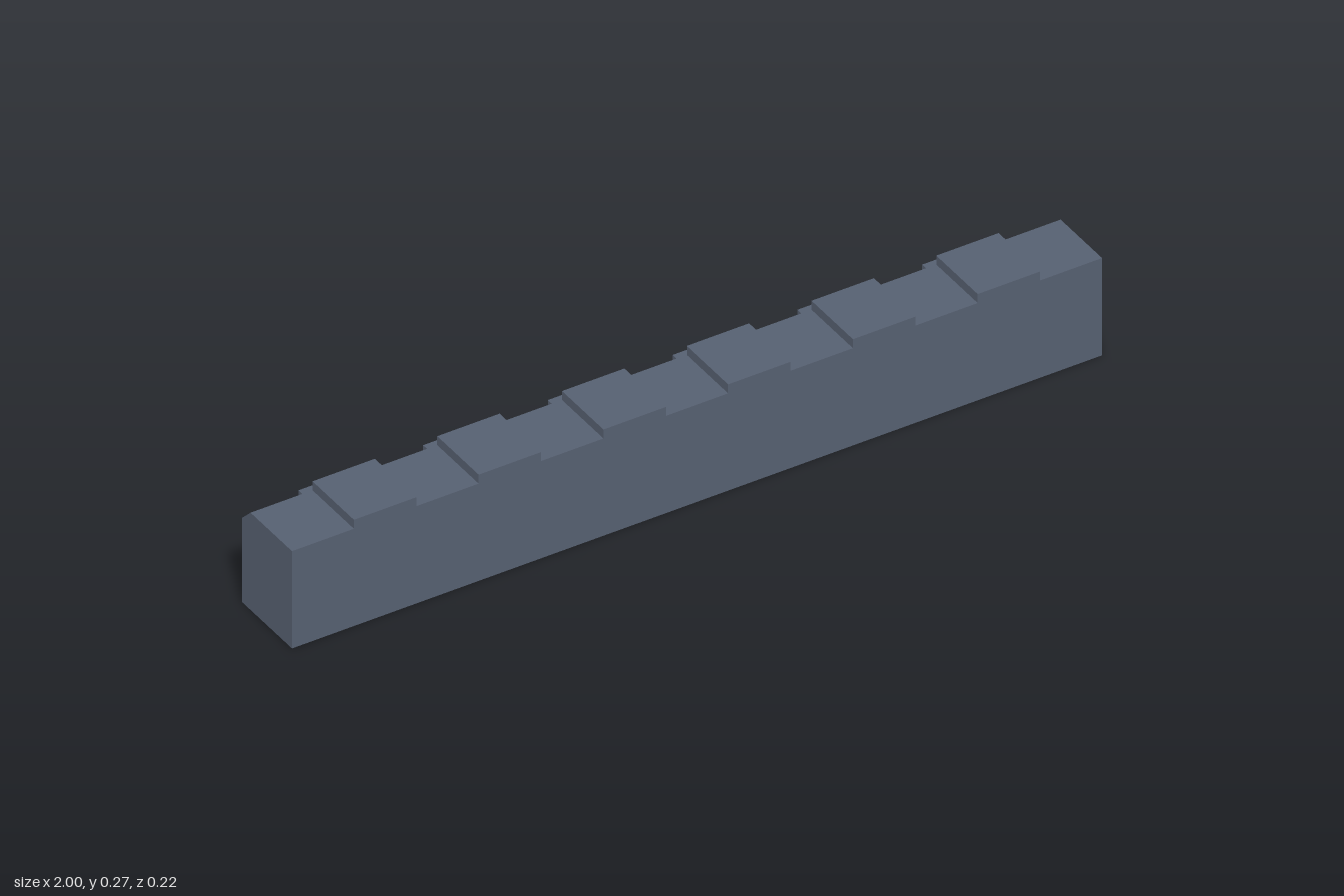
import * as THREE from 'three';

const PITCH = 0.308, BLOCK_W = 0.154, SLOT_W = 0.14;
const FRONT = 0.11, BACK = -0.088, LEDGE = -0.054, TOP = 0.25, SHOULDER = 0.216;

// Extrude a [z, y] profile along x between x0 and x1
function extrudeAlongX(profile, x0, x1) {
  const shape = new THREE.Shape(profile.map(([z, y]) => new THREE.Vector2(-z, y)));
  const geometry = new THREE.ExtrudeGeometry(shape, { depth: x1 - x0, bevelEnabled: false });
  return geometry.rotateY(Math.PI / 2).translate(x0, 0, 0);
}

function box(x, y0, y1, z0, z1) {
  return new THREE.BoxGeometry(BLOCK_W, y1 - y0, z1 - z0)
    .translate(x, (y0 + y1) / 2, (z0 + z1) / 2);
}

export function createModel() {
  const group = new THREE.Group();
  const slate = new THREE.MeshStandardMaterial({ color: 0x566071 });
  slate.name = 'slate';

  const add = (name, geometry) => {
    const mesh = new THREE.Mesh(geometry, slate);
    mesh.name = name;
    group.add(mesh);
  };

  // Beam section with a sloping back shoulder, plain and with a shallow slot
  const base = [[FRONT, TOP], [FRONT, 0], [BACK, 0], [BACK, SHOULDER]];
  const onSlope = (z, sink = 0) => [z + sink, SHOULDER + (z - BACK) - sink];
  const plain = [...base, [LEDGE, TOP]];
  const slotted = [...base, onSlope(-0.085), onSlope(-0.085, 0.008),
    onSlope(-0.064, 0.008), onSlope(-0.064), [LEDGE, TOP]];

  let x = -1;
  for (let i = 0; i < 6; i++) {
    const centre = (i - 2.5) * PITCH;
    const left = centre - SLOT_W / 2, right = centre + SLOT_W / 2;
    add('beam', extrudeAlongX(plain, x, left));
    add('slottedBeam', extrudeAlongX(slotted, left, right));
    x = right;

    // Raised pad on top and rib down the back
    add('topPad', box(centre, TOP, 0.273, LEDGE, FRONT));
    add('backRib', box(centre, 0, SHOULDER, -0.11, BACK));
  }
  add('beam', extrudeAlongX(plain, x, 1));

  return group;
}
